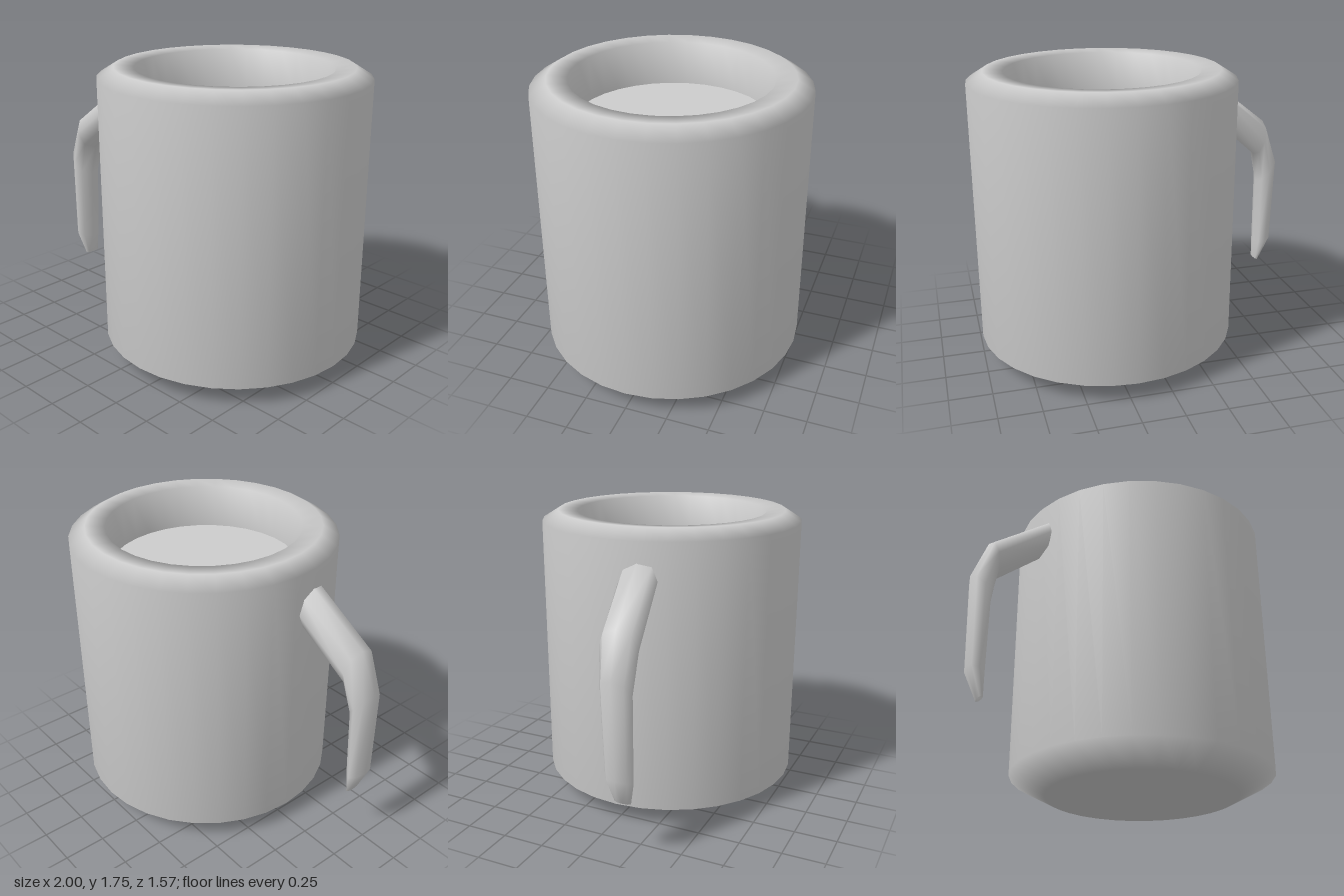
import * as THREE from 'three';

export function createModel() {
  const model = new THREE.Group();
  const grey = new THREE.MeshStandardMaterial({ color: 0xcccccc });
  grey.name = 'ceramicGrey';

  const add = (name, geometry) => {
    const mesh = new THREE.Mesh(geometry, grey);
    mesh.name = name;
    model.add(mesh);
    return mesh;
  };

  // Cup body: underside, bevelled foot, wall, rim and inner wall
  const profile = [
    [0, 0], [0.58, 0], [0.787, 0.11], [0.787, 1.69],
    [0.69, 1.75], [0.575, 1.74], [0.565, 1.48],
  ].map(([r, y]) => new THREE.Vector2(r, y));
  add('cupBody', new THREE.LatheGeometry(profile, 32)).position.x = 0.212;

  // Flat surface inside the cup
  const inside = add('insideSurface', new THREE.CircleGeometry(0.566, 32));
  inside.rotation.x = -Math.PI / 2;
  inside.position.set(0.212, 1.48, 0);

  add('handle', handleGeometry());
  return model;
}

// Curved handle lofted through elliptical rings, tapering to an open-hanging tip
function handleGeometry() {
  const sides = 8;
  // outer x, outer y, inner x, inner y, centre z, half width
  const rings = [
    [-0.535, 1.59, -0.535, 1.36, 0.14, 0.115],
    [-0.9, 1.31, -0.845, 1.09, 0.195, 0.115],
    [-1.0, 1.06, -0.875, 0.9, 0.21, 0.095],
    [-0.99, 0.5, -0.885, 0.46, 0.22, 0.085],
    [-0.915, 0.335, -0.888, 0.335, 0.22, 0.05],
  ];
  const positions = [];
  const index = [];
  for (const [ox, oy, ix, iy, z, half] of rings) {
    for (let j = 0; j < sides; j++) {
      const a = (j / sides) * Math.PI * 2;
      const t = (1 + Math.cos(a)) / 2;
      positions.push(ix + (ox - ix) * t, iy + (oy - iy) * t, z + half * Math.sin(a));
    }
  }
  for (let i = 0; i < rings.length - 1; i++) {
    for (let j = 0; j < sides; j++) {
      const a = i * sides + j;
      const b = i * sides + ((j + 1) % sides);
      index.push(a, a + sides, b, b, a + sides, b + sides);
    }
  }
  // End caps
  const last = (rings.length - 1) * sides;
  for (let j = 1; j < sides - 1; j++) {
    index.push(0, j, j + 1);
    index.push(last, last + j + 1, last + j);
  }
  const geometry = new THREE.BufferGeometry();
  geometry.setAttribute('position', new THREE.Float32BufferAttribute(positions, 3));
  geometry.setIndex(index);
  geometry.computeVertexNormals();
  return geometry;
}
